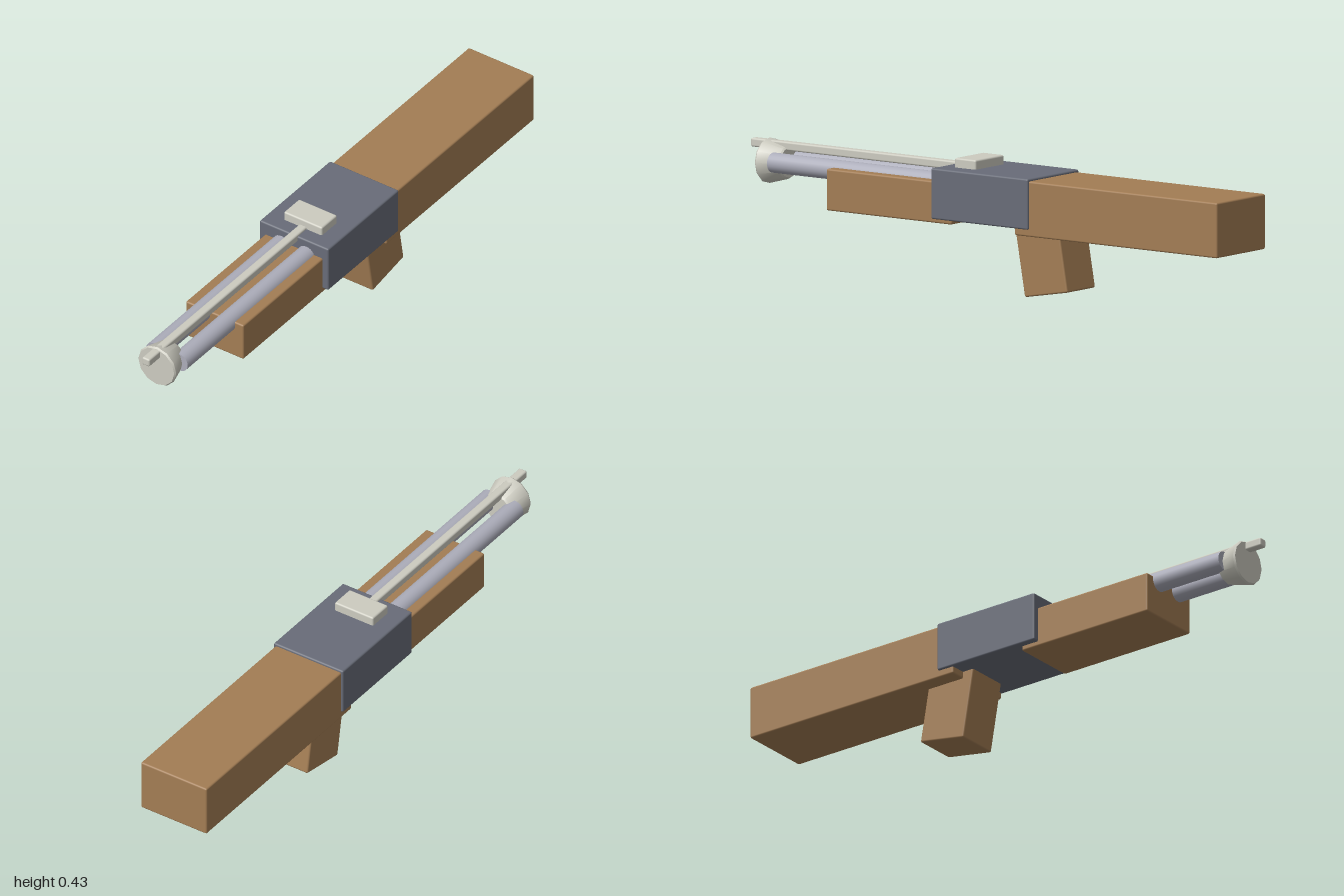
import * as THREE from 'three';
import { RoundedBoxGeometry } from 'three/addons/geometries/RoundedBoxGeometry.js';
import { toCreasedNormals } from 'three/addons/utils/BufferGeometryUtils.js';

const material = (color) => new THREE.MeshStandardMaterial({ color });

export function createModel() {
  const group = new THREE.Group();
  const wood = material(0xa37d54);
  const steel = material(0x686c78);
  const tube = material(0xacadba);
  const pale = material(0xcccbc0);

  const add = (name, geometry, mat) => {
    const mesh = new THREE.Mesh(geometry, mat);
    mesh.name = name;
    group.add(mesh);
    return mesh;
  };

  // Softly bevelled box given by half width, y range and z range
  const block = (name, mat, halfX, y0, y1, z0, z1, bevel = 0.006) => {
    const geometry = new RoundedBoxGeometry(2 * halfX, y1 - y0, z1 - z0, 2, bevel);
    const mesh = add(name, geometry, mat);
    mesh.position.set(0, (y0 + y1) / 2, (z0 + z1) / 2);
    return mesh;
  };

  block('stock', wood, 0.13, 0.215, 0.397, -1, -0.17);
  block('receiver', steel, 0.137, 0.238, 0.405, -0.23, 0.167);
  block('forend', wood, 0.115, 0.222, 0.359, 0.1, 0.613);
  block('rearSight', pale, 0.076, 0.385, 0.436, 0.03, 0.117);
  block('topRib', pale, 0.015, 0.384, 0.413, 0.05, 1);

  // Grip raked backwards
  const grip = block('grip', wood, 0.076, 0, 0.26, -0.089, 0.089);
  grip.rotation.x = THREE.MathUtils.degToRad(10);
  grip.position.set(0, 0.148, -0.235);

  // Twin barrels
  for (const side of [-1, 1]) {
    const barrel = add(side > 0 ? 'leftBarrel' : 'rightBarrel',
      new THREE.CylinderGeometry(0.033, 0.033, 0.8, 24), tube);
    barrel.rotation.x = Math.PI / 2;
    barrel.position.set(side * 0.05, 0.347, 0.48);
  }

  // Twelve-sided flared muzzle cap with bevelled rims
  const profile = [[0, 0], [0.05, 0], [0.055, 0.005], [0.075, 0.081], [0.071, 0.087], [0, 0.087]]
    .map(([r, h]) => new THREE.Vector2(r, h));
  const muzzle = add('muzzleCap', toCreasedNormals(new THREE.LatheGeometry(profile, 12), 0.6), pale);
  muzzle.rotation.x = Math.PI / 2;
  muzzle.position.set(0, 0.344, 0.852);

  return group;
}
